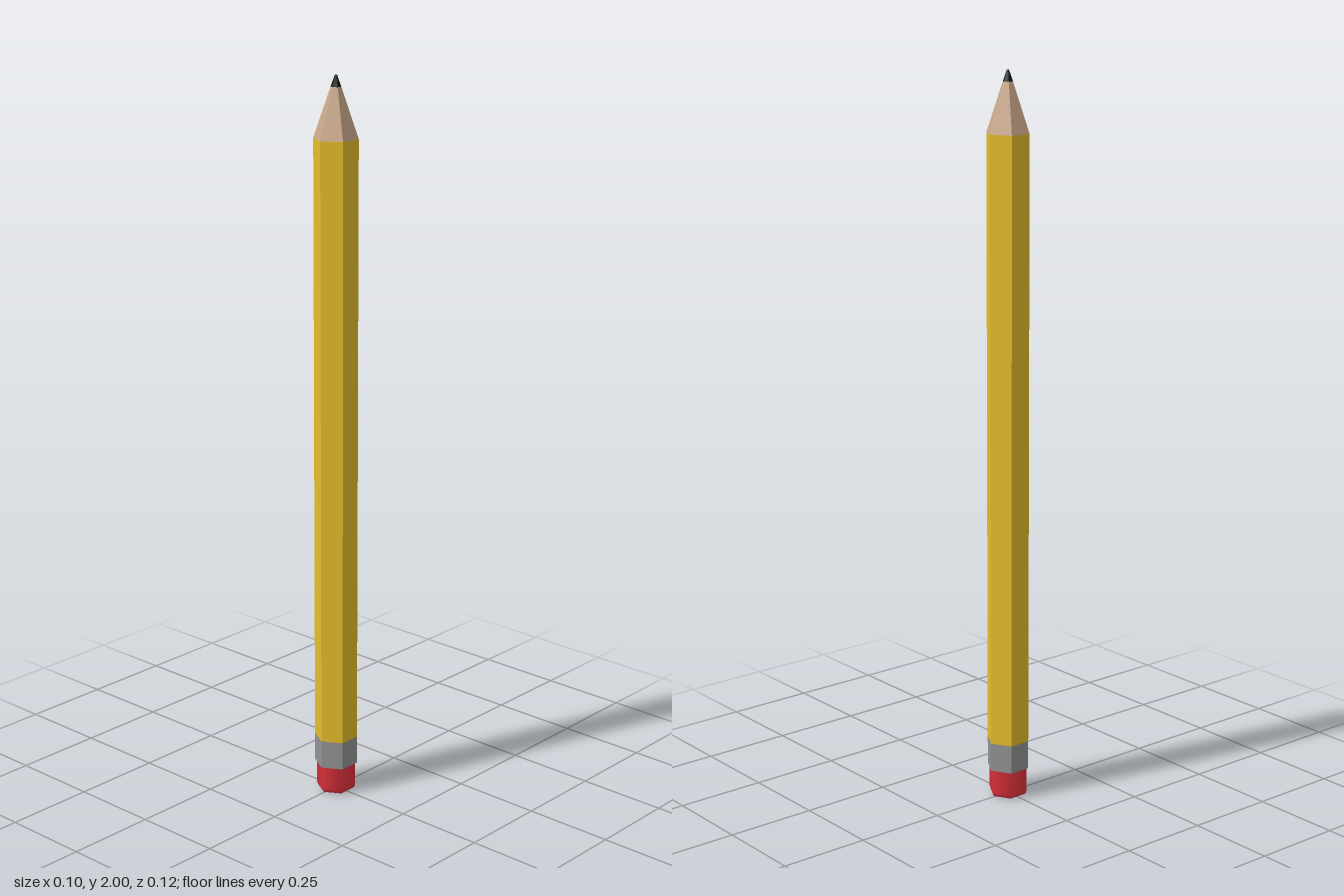
import * as THREE from 'three';

// Hexagonal section with a corner facing +z, spanning y0..y1
function hexPart(name, color, rBottom, rTop, y0, y1) {
  const geometry = new THREE.CylinderGeometry(rTop, rBottom, y1 - y0, 6);
  geometry.translate(0, (y0 + y1) / 2, 0);
  const mesh = new THREE.Mesh(geometry, new THREE.MeshStandardMaterial({ color, flatShading: true }));
  mesh.name = name;
  return mesh;
}

export function createModel() {
  const pencil = new THREE.Group();
  pencil.name = 'pencil';

  // Eraser: smooth-shaded six-sided plug with a rounded bottom rim
  const profile = [[0, 0], [0.046, 0], [0.052, 0.004], [0.055, 0.013], [0.055, 0.09]]
    .map(([r, y]) => new THREE.Vector2(r, y));
  const eraser = new THREE.Mesh(
    new THREE.LatheGeometry(profile, 6),
    new THREE.MeshStandardMaterial({ color: 0xd9303a })
  );
  eraser.name = 'eraser';

  pencil.add(
    eraser,
    hexPart('ferrule', 0x939393, 0.06, 0.06, 0.08, 0.16),
    hexPart('body', 0xe6be2a, 0.06, 0.06, 0.16, 1.837),
    hexPart('sharpenedWood', 0xc9a88a, 0.06, 0.014, 1.837, 1.97),
    hexPart('leadTip', 0x141414, 0.014, 0.003, 1.97, 2)
  );
  return pencil;
}
